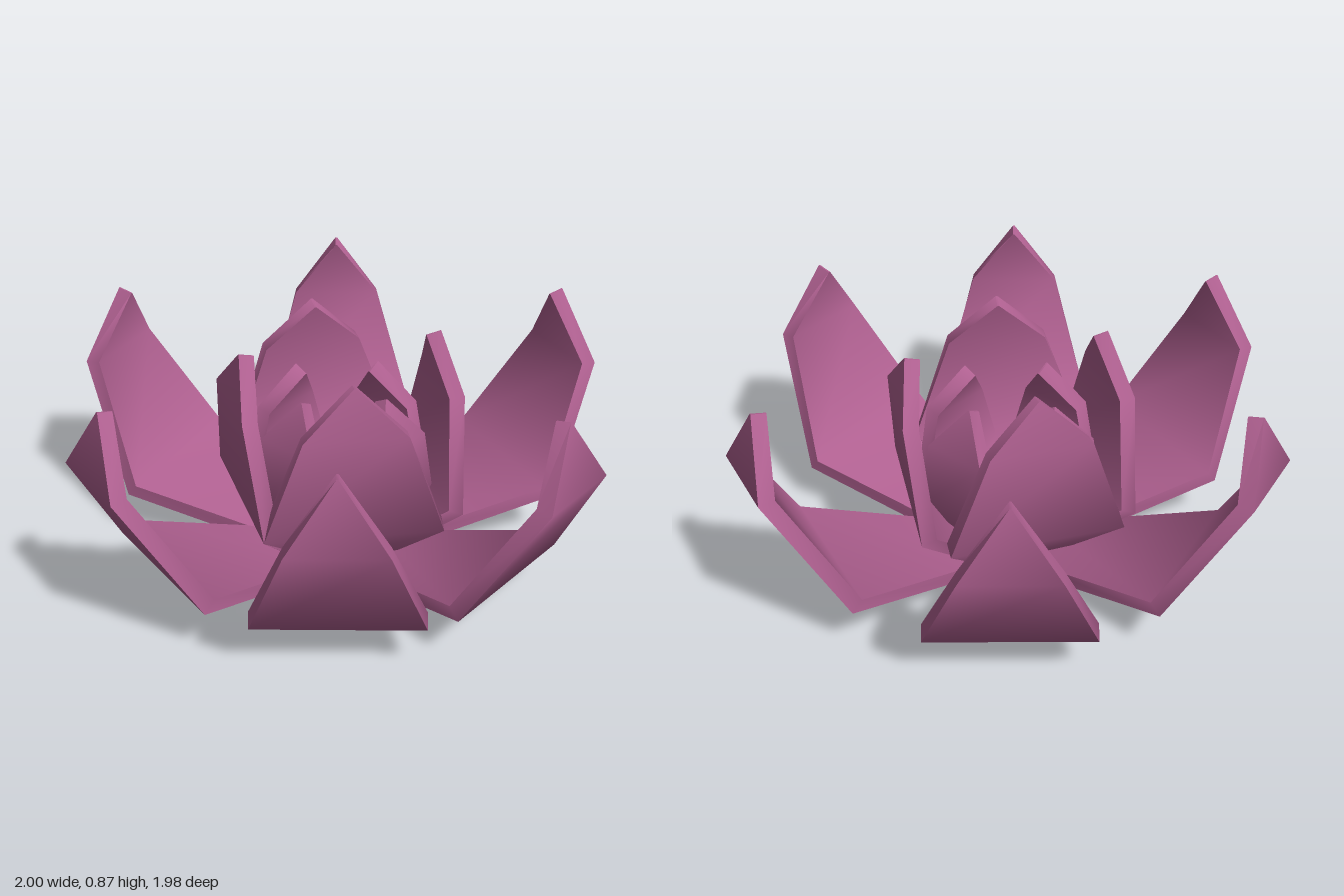
import * as THREE from 'three';
import { toCreasedNormals } from 'three/addons/utils/BufferGeometryUtils.js';

const THICKNESS = 0.055;

// Solid petal pointing along +x; stations are [radius, height, half width] of its outer face
function petalGeometry(stations) {
  const pts = stations.map(([r, y]) => new THREE.Vector2(r, y));
  const positions = [], index = [];
  stations.forEach(([r, y, w], i) => {
    // Mitred offset towards the inside of the flower
    const before = pts[Math.max(i, 1)].clone().sub(pts[Math.max(i, 1) - 1]).normalize();
    const j = Math.min(i + 1, pts.length - 1);
    const after = pts[j].clone().sub(pts[j - 1]).normalize();
    const dir = before.clone().add(after).normalize();
    const d = THICKNESS / dir.dot(after);
    const ri = r - dir.y * d, yi = y + dir.x * d;
    positions.push(r, y, w, r, y, -w, ri, yi, -w, ri, yi, w);
  });
  for (let i = 0; i < stations.length - 1; i++) {
    for (let k = 0; k < 4; k++) {
      const a = i * 4 + k, b = i * 4 + (k + 1) % 4;
      index.push(a, b, b + 4, a, b + 4, a + 4);
    }
  }
  const t = (stations.length - 1) * 4;
  index.push(0, 3, 2, 0, 2, 1, t, t + 1, t + 2, t, t + 2, t + 3);
  const geo = new THREE.BufferGeometry();
  geo.setAttribute('position', new THREE.Float32BufferAttribute(positions, 3));
  geo.setIndex(index);
  return toCreasedNormals(geo, 1.0);
}

// Rings of petals from the outside in, with slightly uneven angles in degrees
const RINGS = [
  {
    name: 'outerPetal',
    stations: [[0.1, 0, 0.12], [0.745, 0.175, 0.295], [0.99, 0.62, 0.165], [0.935, 0.868, 0.003]],
    angles: [-1, 50.3, 105.5, 168, 228.8, 292],
  },
  {
    name: 'middlePetal',
    stations: [[0.11, 0.01, 0.12], [0.375, 0.29, 0.315], [0.405, 0.69, 0.18], [0.365, 0.865, 0.003]],
    angles: [42, 122, 213, 307],
  },
  {
    name: 'innerPetal',
    stations: [[0.12, 0.02, 0.09], [0.28, 0.24, 0.2], [0.29, 0.55, 0.12], [0.21, 0.705, 0.003]],
    angles: [0, 90, 180, 270],
  },
];

export function createModel() {
  const flower = new THREE.Group();
  flower.name = 'flower';
  const material = new THREE.MeshStandardMaterial({ color: 0xaf6090 });
  for (const { name, stations, angles } of RINGS) {
    const ring = new THREE.Group();
    ring.name = name + 'Ring';
    const geometry = petalGeometry(stations);
    for (const angle of angles) {
      const petal = new THREE.Mesh(geometry, material);
      petal.name = name;
      petal.rotation.y = -THREE.MathUtils.degToRad(angle);
      ring.add(petal);
    }
    flower.add(ring);
  }
  return flower;
}
